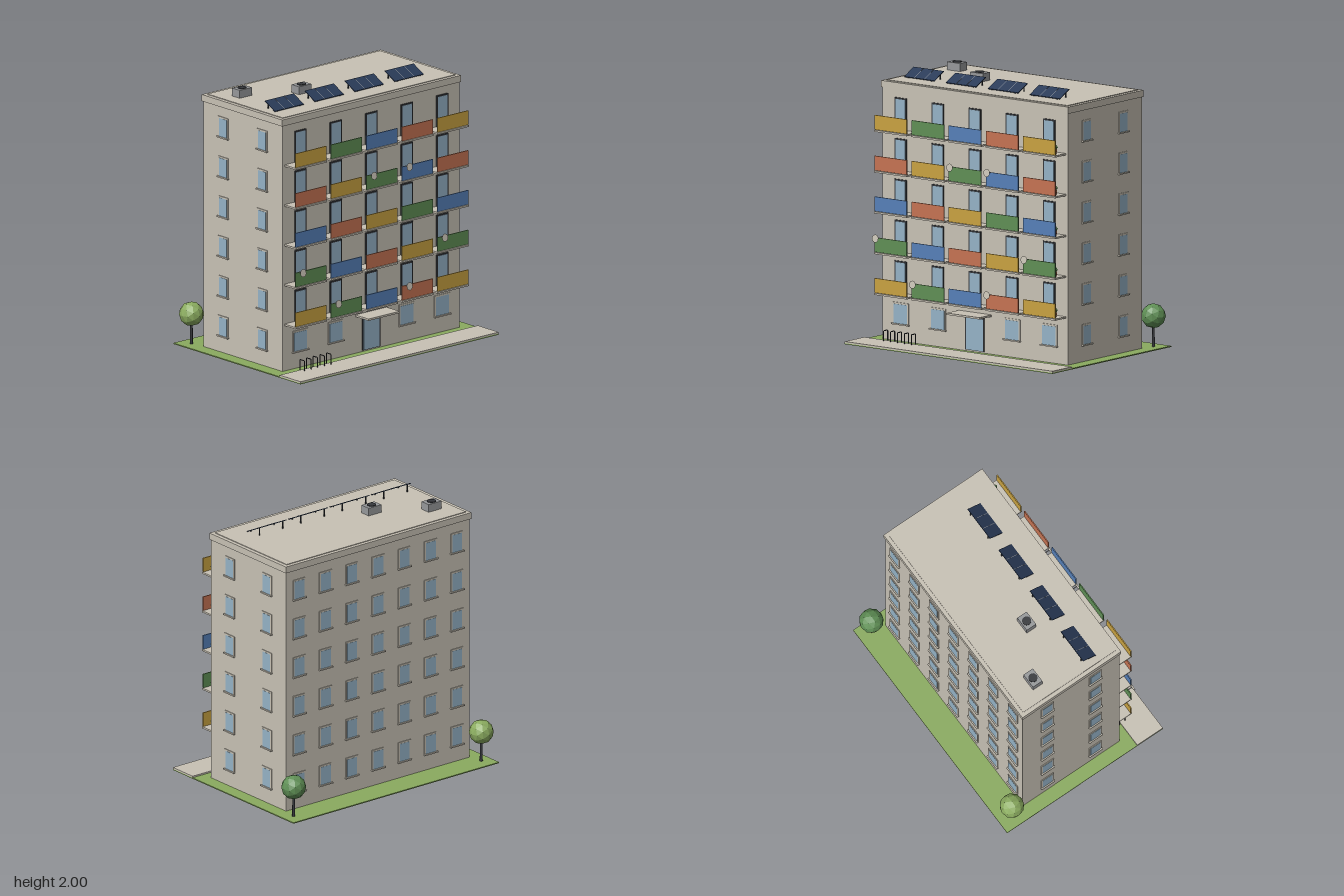
import * as THREE from 'three';

const mat = (name, color) => {
  const m = new THREE.MeshStandardMaterial({ color });
  m.name = name;
  return m;
};

export function createModel() {
  const wall = mat('plaster', 0xc8c2b5);
  const glass = mat('glass', 0x95b3c7);
  const dark = mat('darkMetal', 0x36383c);
  const yellow = mat('yellow', 0xc9a241);
  const green = mat('green', 0x5f8f55);
  const blue = mat('blue', 0x5680b8);
  const red = mat('terracotta', 0xc57353);
  const grass = mat('grass', 0x8aab5f);
  const grey = mat('grey', 0x97999b);
  const navy = mat('solarBlue', 0x2a3b58);

  const model = new THREE.Group();
  model.name = 'apartmentBlock';

  const group = (name, x, y, z, parent = model) => {
    const g = new THREE.Group();
    g.name = name;
    g.position.set(x, y, z);
    parent.add(g);
    return g;
  };
  const add = (name, geo, m, x, y, z, parent = model) => {
    const mesh = new THREE.Mesh(geo, m);
    mesh.name = name;
    mesh.position.set(x, y, z);
    parent.add(mesh);
    return mesh;
  };
  // Box placed by the centre of its base
  const box = (name, m, w, h, d, x, y, z, parent) =>
    add(name, new THREE.BoxGeometry(w, h, d), m, x, y + h / 2, z, parent);
  // Faceted ball of leaves
  const leaves = (name, r, detail, m, x, y, z, parent) => {
    const geo = new THREE.IcosahedronGeometry(r, detail);
    geo.computeVertexNormals();
    return add(name, geo, m, x, y, z, parent);
  };

  // Ground
  box('lawn', grass, 1.94, 0.008, 1.4, 0, 0, 0);
  box('pavement', wall, 1.94, 0.012, 0.23, 0, 0.008, 0.585);

  // Building body and roof edge
  const FRONT = 0.385, BACK = -0.485, SIDE = 0.865, PITCH = 0.3035;
  box('body', wall, SIDE * 2, 1.875, FRONT - BACK, 0, 0.008, (FRONT + BACK) / 2);
  box('roofEdge', wall, 1.75, 0.05, 0.888, 0, 1.88, -0.051);
  box('roofDeck', wall, 1.69, 0.005, 0.83, 0, 1.93, -0.051);

  // Window with surround and sill, facing its own +z
  const windowUnit = (w, h, x, y, z, turn) => {
    const g = group('window', x, y, z);
    g.rotation.y = turn;
    box('surround', wall, w + 0.025, h + 0.014, 0.008, 0, 0, 0.002, g);
    box('pane', glass, w, h, 0.004, 0, 0.001, 0.0055, g);
    box('sill', wall, w + 0.033, 0.01, 0.022, 0, -0.009, 0.006, g);
  };
  for (let f = 0; f < 6; f++) {
    const y = 0.135 + f * PITCH;
    for (let c = -3; c <= 3; c++) windowUnit(0.092, 0.138, c * 0.248, y, BACK, Math.PI);
    for (const s of [-1, 1])
      for (const z of [0.165, -0.265]) windowUnit(0.086, 0.138, s * SIDE, y, z, s * Math.PI / 2);
  }
  for (const c of [-2, -1, 1, 2]) windowUnit(0.125, 0.143, c * 0.347, 0.138, FRONT, 0);

  // Glazed door with a dark frame
  const door = (name, w, h, x, y) => {
    const g = group(name, x, y, FRONT);
    box('frame', dark, w, h, 0.012, 0, 0, 0.002, g);
    box('pane', glass, w - 0.02, h - 0.012, 0.006, 0, 0.001, 0.0065, g);
  };
  door('entranceDoor', 0.175, 0.25, 0, 0.018);
  box('canopy', wall, 0.305, 0.014, 0.148, 0, 0.287, FRONT + 0.07);

  // Balconies, with panel colours shifting by one on each floor
  const panelColors = [yellow, green, blue, red];
  const dishes = ['0,1', '0,3', '1,0', '1,4', '3,2', '3,3'];
  for (let f = 0; f < 5; f++) {
    const y = 0.367 + f * PITCH;
    for (let c = 0; c < 5; c++) {
      const x = (c - 2) * 0.347;
      door('balconyDoor', 0.112, 0.238, x, y);
      const b = group('balcony', x, y, FRONT);
      box('slab', wall, 0.305, 0.013, 0.127, 0, -0.013, 0.0625, b);
      box('panel', panelColors[(c + f) % 4], 0.302, 0.108, 0.008, 0, 0.003, 0.119, b);
      if (dishes.includes(f + ',' + c)) {
        const arm = add('dishArm', new THREE.CylinderGeometry(0.004, 0.004, 0.04, 6), grey, -0.112, 0.11, 0.137, b);
        arm.rotation.x = Math.PI / 2;
        const dish = add('dish', new THREE.CylinderGeometry(0.03, 0.018, 0.012, 10), wall, -0.112, 0.111, 0.157, b);
        dish.rotation.x = Math.PI / 2 - 0.15;
      }
      if (c === 4) {
        add('pot', new THREE.CylinderGeometry(0.016, 0.012, 0.034, 8), red, 0.1, 0.017, 0.062, b);
        leaves('potPlant', 0.021, 0, green, 0.1, 0.05, 0.062, b);
      }
    }
  }

  // Bike stands
  for (let i = 0; i < 5; i++) {
    const path = new THREE.CurvePath();
    const p = [[0, 0], [0, 0.088], [0.05, 0.088], [0.05, 0]].map(([z, y]) => new THREE.Vector3(0, y, z));
    for (let k = 0; k < 3; k++) path.add(new THREE.LineCurve3(p[k], p[k + 1]));
    add('bikeStand', new THREE.TubeGeometry(path, 24, 0.004, 6), dark, -0.76 + i * 0.065, 0.008, 0.458);
  }

  // Trees behind the block
  for (const [x, m] of [[-0.885, grass], [0.885, green]]) {
    const t = group('tree', x, 0.004, -0.597);
    add('trunk', new THREE.CylinderGeometry(0.009, 0.012, 0.17, 7), dark, 0, 0.085, 0, t);
    leaves('crown', 0.092, 1, m, 0, 0.233, 0, t);
  }

  // Tilted solar panels
  for (let i = 0; i < 4; i++) {
    const g = group('solarArray', -0.653 + i * 0.391, 1.932, 0.165);
    const tilt = group('tiltedPanel', 0, 0.037, 0, g);
    tilt.rotation.x = 0.46;
    box('panel', navy, 0.282, 0.006, 0.126, 0, -0.003, 0, tilt);
    for (const s of [-1, 1]) {
      box('seam', grey, 0.003, 0.001, 0.126, s * 0.047, 0.003, 0, tilt);
      box('rearLeg', dark, 0.007, 0.06, 0.007, s * 0.11, 0, -0.052, g);
      box('frontLeg', dark, 0.007, 0.012, 0.007, s * 0.11, 0, 0.05, g);
    }
  }

  // Roof ventilation units
  for (const [x, z] of [[-0.685, -0.265], [-0.298, -0.045]]) {
    const g = group('ventUnit', x, 1.932, z);
    box('housing', grey, 0.12, 0.063, 0.084, 0, 0, 0, g);
    add('fan', new THREE.CylinderGeometry(0.034, 0.034, 0.005, 14), dark, 0, 0.0655, 0, g);
  }

  return model;
}
